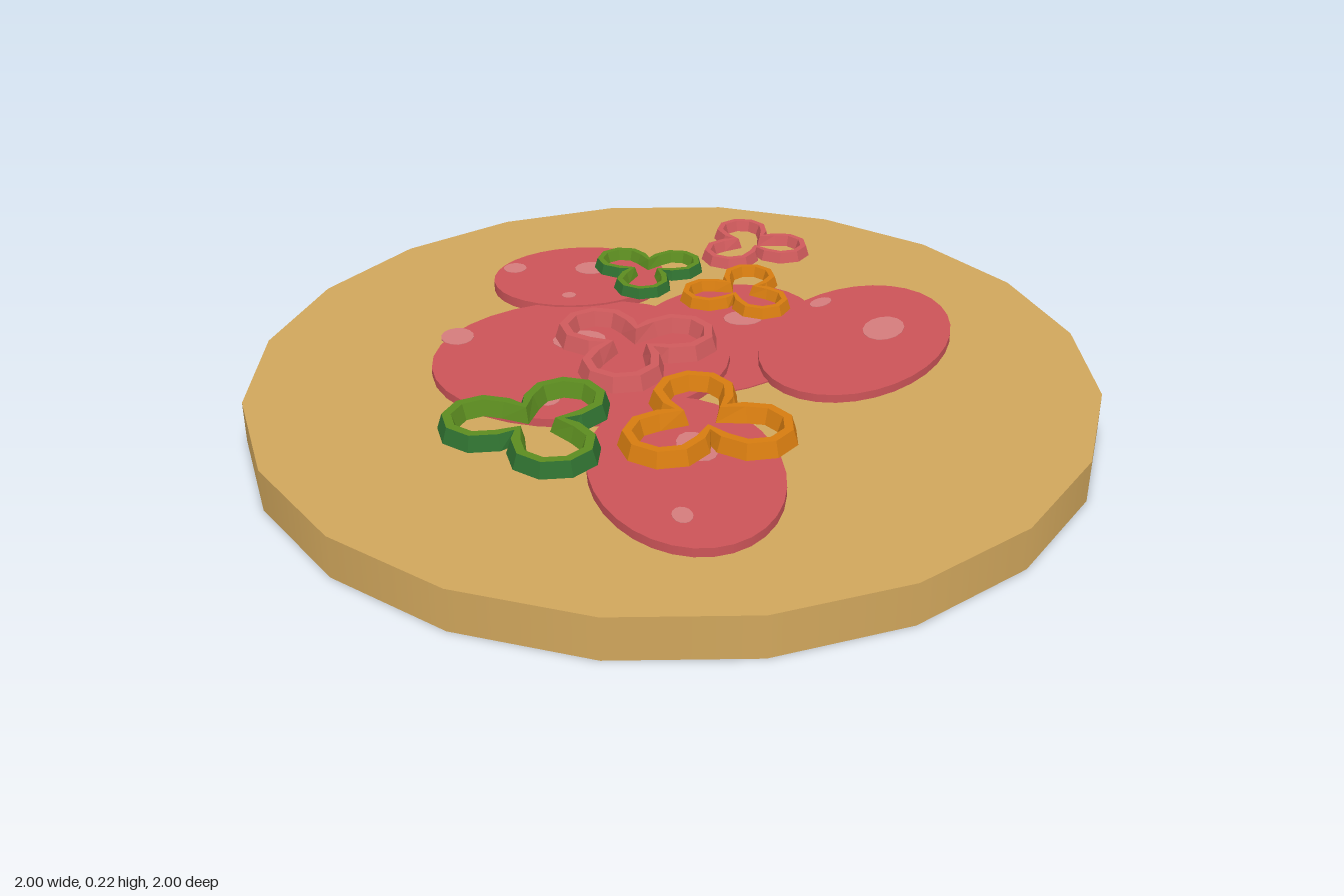
import * as THREE from 'three';

const mat = (name, color) => {
  const m = new THREE.MeshStandardMaterial({ color });
  m.name = name;
  return m;
};

// Three-lobed outline, counter-clockwise from above, moved outward by the offset o
function trefoil(o, y, turn) {
  const d = 0.108, r = 0.08, pts = [];
  for (let lobe = 0; lobe < 3; lobe++) {
    const a = turn + lobe * Math.PI * 2 / 3;
    const add = (u, v) => pts.push(new THREE.Vector3(
      u * Math.cos(a) - v * Math.sin(a), y, -(u * Math.sin(a) + v * Math.cos(a))));
    for (let i = -3; i <= 3; i++) {
      const p = i * Math.PI * 2 / 9;
      add(d + (r + o) * Math.cos(p), (r + o) * Math.sin(p));
    }
    // inward notch between two lobes
    const c = 0.056 + o;
    add(c * Math.cos(Math.PI / 3), c * Math.sin(Math.PI / 3));
  }
  return pts;
}

// Pepper ring: a tapered section swept around the outline, skin outside, flesh elsewhere
function ringGeometry(turn) {
  const loops = [[0.02, 0], [0.009, 0.035], [-0.011, 0.035], [-0.023, 0]]
    .map(([o, y]) => trefoil(o, y, turn));
  const pos = [], n = loops[0].length;
  const geo = new THREE.BufferGeometry();
  loops.forEach((low, k) => {
    const high = loops[(k + 1) % loops.length];
    for (let i = 0; i < n; i++) {
      const j = (i + 1) % n;
      for (const p of [low[i], low[j], high[j], low[i], high[j], high[i]]) pos.push(p.x, p.y, p.z);
    }
    geo.addGroup(k * n * 6, n * 6, k === 0 ? 0 : 1);
  });
  geo.setAttribute('position', new THREE.Float32BufferAttribute(pos, 3));
  geo.computeVertexNormals();
  return geo;
}

export function createModel() {
  const model = new THREE.Group();
  model.name = 'pizza';
  const dough = mat('dough', 0xd0a65c);
  const salami = mat('salami', 0xcc5458);
  const fat = mat('fat', 0xd47c7c);
  const redPepper = mat('red pepper', 0xcf5a5c);
  const orangePepper = mat('orange pepper', 0xd67c10);
  const greenSkin = mat('green pepper skin', 0x2f7030);
  const greenFlesh = mat('green pepper flesh', 0x5c8c20);

  // Dough base
  const base = new THREE.Mesh(new THREE.CylinderGeometry(1, 1, 0.1, 20), dough);
  base.name = 'doughBase';
  base.position.y = 0.05;
  model.add(base);

  // Flat oval plates: x, z, half-widths, turn, bottom and top height
  const oval = (name, material, x, z, rx, rz, turn, y0, y1, sides = 32) => {
    const m = new THREE.Mesh(new THREE.CylinderGeometry(1, 1, 1, sides), material);
    m.name = name;
    m.scale.set(rx, y1 - y0, rz);
    m.rotation.y = turn;
    m.position.set(x, (y0 + y1) / 2, z);
    model.add(m);
  };

  // Salami slices
  [
    [-0.158, -0.5, 0.223, 0.18, 0, 0.125],
    [-0.21, -0.055, 0.355, 0.305, 0, 0.12],
    [0.46, -0.038, 0.317, 0.213, 0.88, 0.12],
    [-0.06, 0.488, 0.208, 0.308, 0, 0.121],
    [0.15, -0.135, 0.309, 0.231, 0.94, 0.103],
  ].forEach(([x, z, rx, rz, turn, top]) => oval('salamiSlice', salami, x, z, rx, rz, turn, 0.095, top));

  // Fat spots, each resting on its slice
  [
    [-0.12, -0.54, 0.045, 0.038, 0, 0.125],
    [-0.32, -0.575, 0.03, 0.03, 0, 0.125],
    [-0.2, -0.385, 0.018, 0.016, 0, 0.125],
    [-0.495, -0.21, 0.04, 0.045, 0, 0.12],
    [-0.205, -0.14, 0.065, 0.05, 0, 0.12],
    [-0.315, 0.14, 0.03, 0.033, 0, 0.12],
    [0.54, -0.07, 0.068, 0.048, 0.9, 0.12],
    [0.425, -0.24, 0.035, 0.02, 0.6, 0.12],
    [0.22, -0.22, 0.05, 0.04, 0, 0.103],
    [-0.02, 0.41, 0.042, 0.065, 0.2, 0.121],
    [-0.1, 0.67, 0.022, 0.03, 0, 0.121],
  ].forEach(([x, z, rx, rz, turn, y]) => oval('fatSpot', fat, x, z, rx, rz, turn, y - 0.002, y + 0.001, 14));

  // Pepper rings: x, z, size, direction of one lobe in degrees
  const red = [redPepper, redPepper];
  const orange = [orangePepper, orangePepper];
  const green = [greenSkin, greenFlesh];
  [
    ['orangePepperRing', orange, -0.012, 0.443, 1, 90],
    ['greenPepperRing', green, -0.367, 0.393, 1, 46],
    ['redPepperRing', red, -0.107, 0.065, 1, 9],
    ['smallOrangePepperRing', orange, 0.2, -0.18, 0.72, 180],
    ['smallGreenPepperRing', green, -0.004, -0.348, 0.72, 13],
    ['smallRedPepperRing', red, 0.29, -0.455, 0.74, 95],
  ].forEach(([name, materials, x, z, size, degrees]) => {
    const ring = new THREE.Mesh(ringGeometry(THREE.MathUtils.degToRad(degrees)), materials);
    ring.name = name;
    ring.scale.setScalar(size);
    ring.position.set(x, 0.185, z);
    model.add(ring);
  });

  return model;
}
